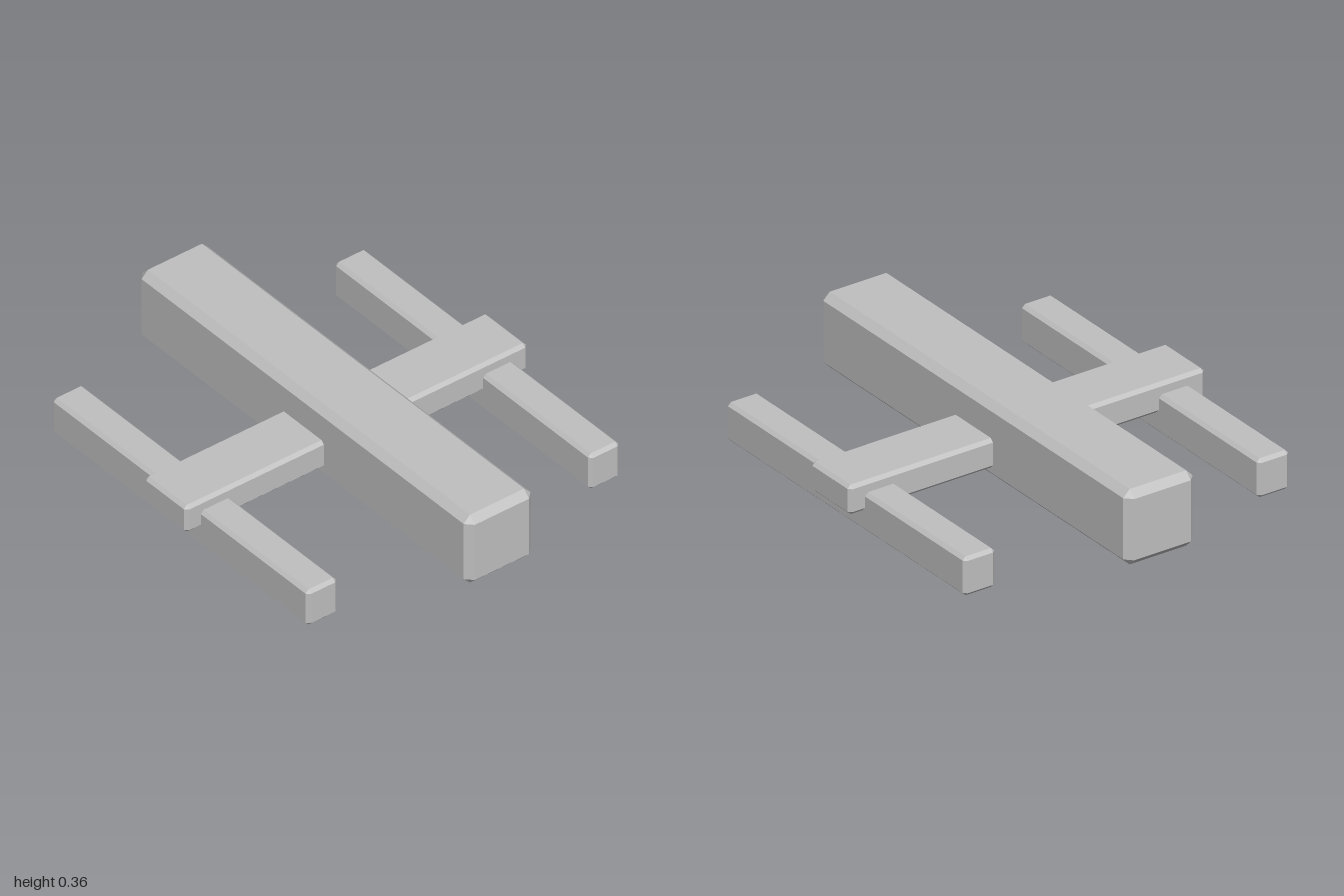
import * as THREE from 'three';
import { ConvexGeometry } from 'three/addons/geometries/ConvexGeometry.js';

// Box with every edge and corner cut flat
function chamferBox(w, h, d, c) {
  const points = [];
  for (const sx of [-1, 1]) for (const sy of [-1, 1]) for (const sz of [-1, 1]) {
    const x = w / 2, y = h / 2, z = d / 2;
    points.push(
      new THREE.Vector3(sx * x, sy * (y - c), sz * (z - c)),
      new THREE.Vector3(sx * (x - c), sy * y, sz * (z - c)),
      new THREE.Vector3(sx * (x - c), sy * (y - c), sz * z)
    );
  }
  return new ConvexGeometry(points);
}

export function createModel() {
  const model = new THREE.Group();
  model.name = 'model';
  const grey = new THREE.MeshStandardMaterial({ color: 0xc0c0c0 });
  grey.name = 'grey';

  const add = (name, geometry, x, y) => {
    const mesh = new THREE.Mesh(geometry, grey);
    mesh.name = name;
    mesh.position.set(x, y, 0);
    model.add(mesh);
  };

  // Long central body and the bar crossing through it
  add('body', chamferBox(0.32, 0.32, 2, 0.03), 0, 0.196);
  add('crossbar', chamferBox(1.64, 0.125, 0.255, 0.014), 0, 0.15);

  // Three equal runners: one under the body, one near each bar end
  const runner = chamferBox(0.145, 0.165, 1.545, 0.014);
  add('leftRunner', runner, 0.677, 0.0825);
  add('centreRunner', runner, 0, 0.0825);
  add('rightRunner', runner, -0.677, 0.0825);

  return model;
}
